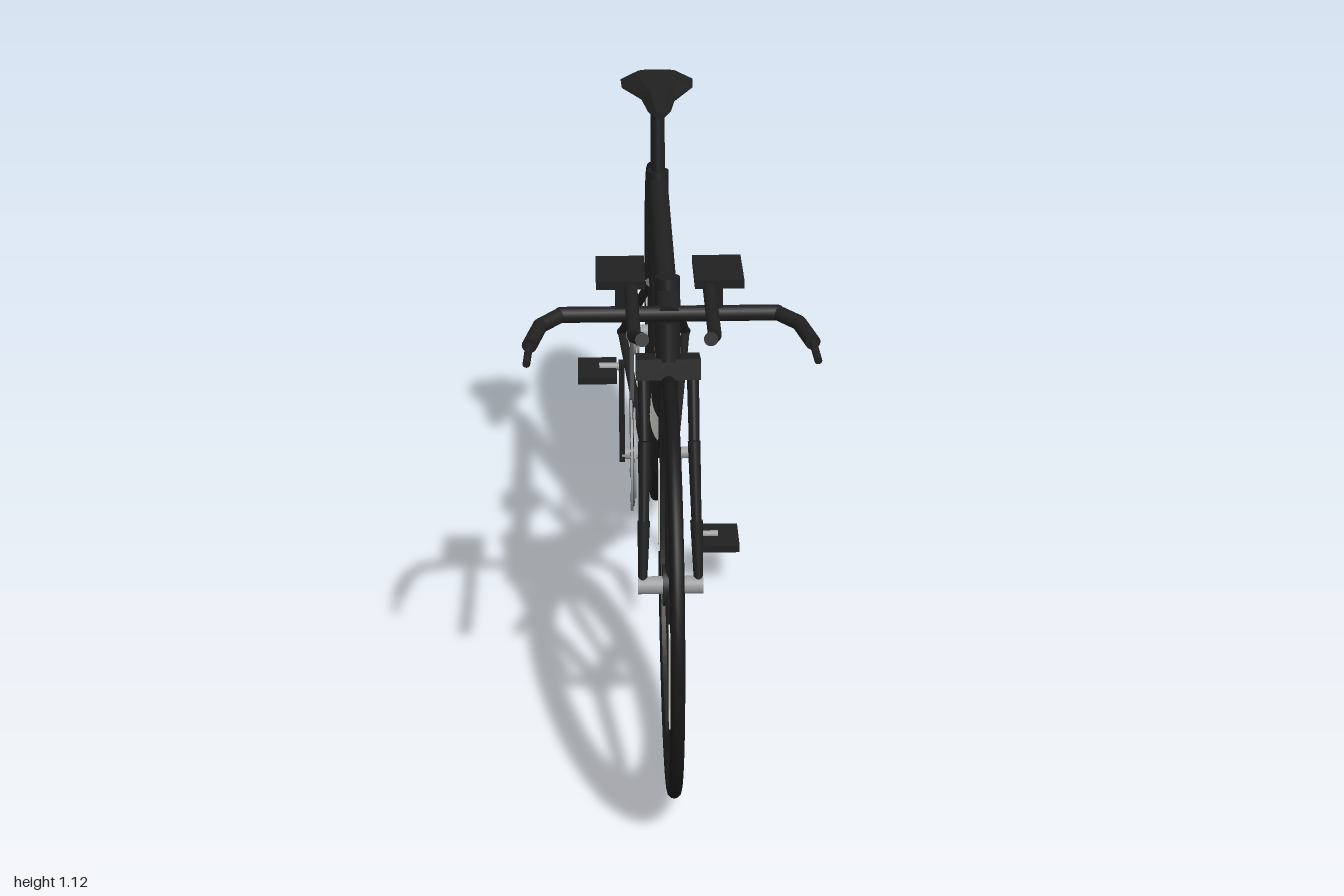
import * as THREE from 'three';

const mat = (name, color, double) => {
  const m = new THREE.MeshStandardMaterial({ color });
  m.name = name;
  if (double) m.side = THREE.DoubleSide;
  return m;
};
const V = (x, y, z) => new THREE.Vector3(x, y, z);

export function createModel() {
  const root = new THREE.Group();
  root.name = 'timeTrialBicycle';
  const frame = mat('frame black', 0x202020);
  const carbon = mat('wheel carbon', 0x242424);
  const rubber = mat('rubber', 0x181818);
  const metal = mat('metal', 0x9a9c9e);
  const chainGrey = mat('chain grey', 0x4a4a4a);
  const panel = mat('pale panel', 0xd8d9d2, true);

  const add = (name, geo, material, parent = root) => {
    const m = new THREE.Mesh(geo, material);
    m.name = name;
    parent.add(m);
    return m;
  };
  const box = (name, w, h, d, x, y, z, material, parent) => {
    const m = add(name, new THREE.BoxGeometry(w, h, d), material, parent);
    m.position.set(x, y, z);
    return m;
  };
  // Oval strut from a to b: half width rx, half depth rd; taper scales the b end
  const strut = (name, a, b, rx, rd, material, taper = 1, geo) => {
    const len = a.distanceTo(b);
    const m = add(name, geo || new THREE.CylinderGeometry(taper, 1, 1, 20), material);
    const y = b.clone().sub(a).normalize();
    const ref = Math.abs(y.x) > 0.9 ? V(0, 0, 1) : V(1, 0, 0);
    const x = ref.addScaledVector(y, -ref.dot(y)).normalize();
    const z = x.clone().cross(y);
    m.quaternion.setFromRotationMatrix(new THREE.Matrix4().makeBasis(x, y, z));
    m.scale.set(rx, len, rd);
    m.position.copy(a).lerp(b, 0.5);
    return m;
  };
  // Round rod built along straight segments with ball joints
  const rod = (name, pts, r, material) => {
    for (let i = 0; i < pts.length - 1; i++) {
      strut(name, pts[i], pts[i + 1], r, r, material);
      if (i) add(name + 'Joint', new THREE.SphereGeometry(r, 14, 10), material).position.copy(pts[i]);
    }
  };
  // Flat ring or disc whose axis is x
  const ring = (outer, inner, depth) => {
    const s = new THREE.Shape().absarc(0, 0, outer, 0, Math.PI * 2);
    if (inner) s.holes.push(new THREE.Path().absarc(0, 0, inner, 0, Math.PI * 2, true));
    return new THREE.ExtrudeGeometry(s, { depth, bevelEnabled: false, curveSegments: 48 })
      .translate(0, 0, -depth / 2).rotateY(Math.PI / 2);
  };

  // Wheels
  const wheel = (name, z) => {
    const g = new THREE.Group();
    g.name = name;
    g.position.set(0, 0.4, z);
    root.add(g);
    add('tyre', new THREE.TorusGeometry(0.387, 0.013, 12, 72).rotateY(Math.PI / 2), rubber, g);
    add('axle', new THREE.CylinderGeometry(0.017, 0.017, 0.124, 20).rotateZ(Math.PI / 2), metal, g);
    return g;
  };
  const front = wheel('frontWheel', 0.6);
  add('deepRim', ring(0.384, 0.28, 0.022), carbon, front);
  add('hub', ring(0.04, 0, 0.03), carbon, front);
  for (let i = 0; i < 3; i++) {
    const arm = new THREE.CylinderGeometry(1, 1, 0.29, 16).scale(0.011, 1, 0.03).translate(0, 0.145, 0);
    add('wheelSpoke', arm.rotateX((i * Math.PI * 2) / 3), carbon, front);
  }
  const rear = wheel('rearWheel', -0.6);
  add('disc', ring(0.384, 0, 0.022), carbon, rear);
  for (const s of [1, -1]) {
    for (const dz of [0.327, -0.327]) box('rimPanel', 0.003, 0.185, 0.053, s * 0.0125, 0, dz, panel, front);
    box('discPanelLong', 0.003, 0.035, 0.24, s * 0.0125, 0.002, 0.2, panel, rear);
    box('discPanelShort', 0.003, 0.035, 0.143, s * 0.0125, 0.002, -0.199, panel, rear);
  }
  // Sprockets on the right side
  for (let i = 0; i < 4; i++) {
    add('sprocket', ring(0.06 - i * 0.006, 0, 0.006), metal, rear).position.x = -0.038 - i * 0.008;
  }

  // Frame tubes
  const dtA = V(0, 0.81, 0.42), dtB = V(0, 0.33, -0.12);
  strut('headTube', V(0, 0.795, 0.43), V(0, 0.948, 0.392), 0.024, 0.043, frame);
  strut('downTube', dtA, dtB, 0.025, 0.06, frame);
  strut('topTube', V(0, 0.885, 0.4), V(0, 0.905, -0.25), 0.021, 0.025, frame);
  strut('seatTube', V(0, 0.32, -0.122), V(0, 0.93, -0.248), 0.023, 0.05, frame);
  strut('seatPost', V(0, 0.9, -0.242), V(0, 1.095, -0.268), 0.015, 0.027, frame);
  strut('bottomBracket', V(-0.042, 0.32, -0.12), V(0.042, 0.32, -0.12), 0.028, 0.028, frame);
  // Pale sleeve around the leading half of the down tube
  strut('downTubePanel', dtA.clone().lerp(dtB, 0.39), dtA.clone().lerp(dtB, 0.62), 0.0265, 0.062, panel, 1,
    new THREE.CylinderGeometry(1, 1, 1, 20, 1, true, Math.PI / 2, Math.PI));

  // Fork and rear stays
  box('forkCrown', 0.122, 0.04, 0.075, 0, 0.78, 0.432, frame).rotation.x = -0.25;
  for (const s of [1, -1]) {
    const leg = [V(s * 0.047, 0.785, 0.438), V(s * 0.047, 0.66, 0.51), V(s * 0.05, 0.52, 0.567), V(s * 0.053, 0.4, 0.6)];
    const depth = [0.024, 0.02, 0.016, 0.011];
    for (let i = 0; i < 3; i++) strut('forkLeg', leg[i], leg[i + 1], 0.012, depth[i], frame, depth[i + 1] / depth[i]);
    rod('seatStay', [V(s * 0.018, 0.7, -0.18), V(s * 0.075, 0.4, -0.6)], 0.01, frame);
    rod('chainStay', [V(s * 0.032, 0.325, -0.13), V(s * 0.075, 0.4, -0.6)], 0.01, frame);
    add('dropout', new THREE.SphereGeometry(0.012, 12, 8), frame).position.set(s * 0.075, 0.4, -0.6);
  }

  // Cranks and pedals: left one down, right one up
  rod('crankAxle', [V(-0.083, 0.32, -0.12), V(0.083, 0.32, -0.12)], 0.013, metal);
  for (const s of [1, -1]) {
    const py = 0.32 - s * 0.207;
    box('crankArm', 0.012, 0.235, 0.025, s * 0.082, 0.32 - s * 0.102, -0.12, frame);
    rod('pedalAxle', [V(s * 0.08, py + 0.003, -0.12), V(s * 0.13, py + 0.003, -0.12)], 0.008, metal);
    box('pedal', 0.083, 0.016, 0.105, s * 0.134, py - 0.006, -0.117, frame);
  }
  // Chainrings, spider and chain
  for (const [o, i, x] of [[0.127, 0.113, -0.062], [0.1, 0.088, -0.055]]) {
    add('chainring', ring(o, i, 0.005), metal).position.set(x, 0.32, -0.12);
  }
  for (let i = 0; i < 5; i++) {
    const a = (i / 5) * Math.PI * 2;
    const tip = V(-0.06, 0.32 + 0.117 * Math.cos(a), -0.12 + 0.117 * Math.sin(a));
    strut('spiderArm', V(-0.06, 0.32, -0.12), tip, 0.004, 0.011, frame, 0.7);
  }
  for (const s of [1, -1]) {
    rod('chain', [V(-0.06, 0.32 + s * 0.126, -0.125), V(-0.053, 0.4 + s * 0.062, -0.6)], 0.005, chainGrey);
  }

  // Saddle: six-sided sections of [z, half width, bottom, middle, top]
  const sections = [
    [-0.36, 0.05, 1.098, 1.108, 1.118], [-0.345, 0.077, 1.088, 1.102, 1.121],
    [-0.29, 0.075, 1.082, 1.1, 1.121], [-0.21, 0.035, 1.083, 1.1, 1.119],
    [-0.13, 0.024, 1.088, 1.101, 1.117], [-0.095, 0.012, 1.096, 1.102, 1.11],
  ];
  const pos = [], idx = [];
  sections.forEach(([z, w, b, m, t], i) => {
    pos.push(-w, m, z, -w / 2, t, z, w / 2, t, z, w, m, z, w / 2, b, z, -w / 2, b, z);
    if (i === sections.length - 1) return;
    for (let j = 0; j < 6; j++) {
      const a = i * 6 + j, d = i * 6 + ((j + 1) % 6);
      idx.push(a, a + 6, d + 6, a, d + 6, d);
    }
  });
  const last = (sections.length - 1) * 6;
  for (let k = 1; k < 5; k++) idx.push(0, k, k + 1, last, last + k + 1, last + k);
  let saddle = new THREE.BufferGeometry();
  saddle.setAttribute('position', new THREE.Float32BufferAttribute(pos, 3));
  saddle.setIndex(idx);
  saddle = saddle.toNonIndexed();
  saddle.computeVertexNormals();
  add('saddle', saddle, frame);

  // Cockpit
  strut('stem', V(0, 0.925, 0.39), V(0, 0.915, 0.5), 0.022, 0.018, frame);
  rod('baseBar', [V(-0.2, 0.914, 0.49), V(0.2, 0.914, 0.49)], 0.015, frame);
  for (const s of [1, -1]) {
    add('barJoint', new THREE.SphereGeometry(0.015, 14, 10), frame).position.set(s * 0.2, 0.914, 0.49);
    rod('barHorn', [V(s * 0.2, 0.914, 0.49), V(s * 0.238, 0.91, 0.53), V(s * 0.256, 0.91, 0.62)], 0.014, frame);
    rod('brakeLever', [V(s * 0.256, 0.91, 0.61), V(s * 0.26, 0.903, 0.685)], 0.007, frame);
    box('padPost', 0.019, 0.08, 0.024, s * 0.09, 0.95, 0.485, frame);
    box('armPad', 0.09, 0.016, 0.125, s * 0.09, 0.996, 0.487, frame);
    rod('extension', [V(s * 0.072, 0.985, 0.44), V(s * 0.07, 0.993, 0.77), V(s * 0.058, 1.032, 0.875)], 0.012, frame);
  }
  return root;
}
